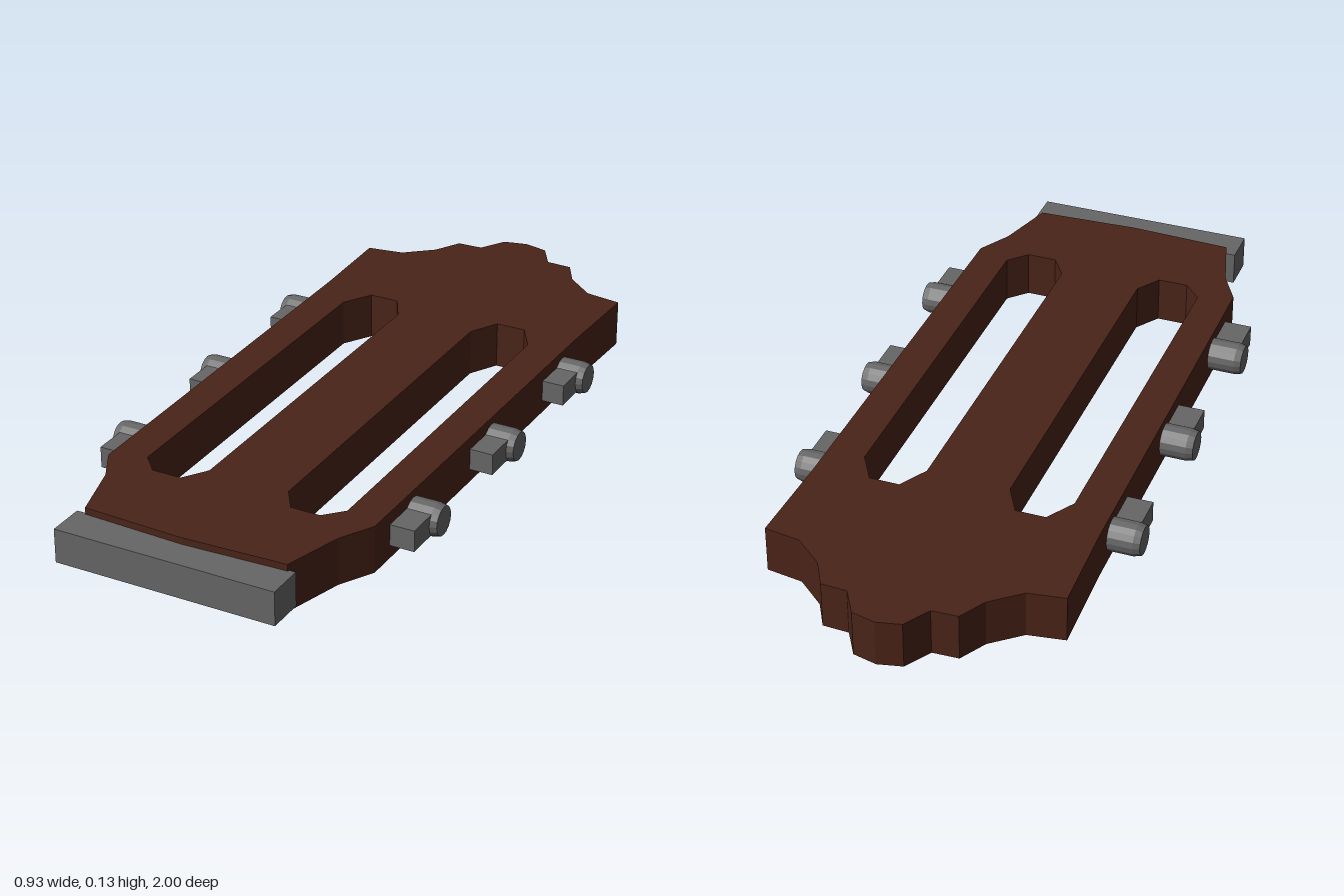
import * as THREE from 'three';

const wood = new THREE.MeshStandardMaterial({ color: 0x4a2418, flatShading: true });
const metal = new THREE.MeshStandardMaterial({ color: 0x666666, flatShading: true });

const THICKNESS = 0.128;
const MID_Y = 0.065;
const CENTRE_X = 0.004;

function part(name, geometry, material) {
  const mesh = new THREE.Mesh(geometry, material);
  mesh.name = name;
  return mesh;
}

// Slotted board, drawn in plan (x, z) and extruded through its thickness
function headBoard() {
  const half = [
    [0.065, -0.985], [0.107, -0.915], [0.177, -0.912], [0.217, -0.84], [0.294, -0.775],
    [0.393, -0.76], [0.384, -0.5], [0.376, 0.655], [0.326, 0.745], [0.28, 0.905],
  ];
  const outline = [
    [0, -1], ...half, [0, 0.917],
    ...half.slice().reverse().map(([x, z]) => [-x, z]),
  ];
  const shape = new THREE.Shape(outline.map(([x, z]) => new THREE.Vector2(x, z)));

  // Long string slots with chamfered corners
  const slot = [
    [0.112, -0.4], [0.155, -0.478], [0.236, -0.478], [0.283, -0.4],
    [0.283, 0.62], [0.236, 0.67], [0.155, 0.67], [0.112, 0.605],
  ];
  for (const side of [1, -1]) {
    shape.holes.push(new THREE.Path(slot.map(([x, z]) => new THREE.Vector2(side * x, z))));
  }
  const geometry = new THREE.ExtrudeGeometry(shape, { depth: THICKNESS, bevelEnabled: false });
  geometry.rotateX(Math.PI / 2).translate(CENTRE_X, THICKNESS, 0);
  return part('headBoard', geometry, wood);
}

// Tuning peg: a bevelled barrel pointing outwards with a flat tab beside it
function tuningPeg(side, z) {
  const peg = new THREE.Group();
  peg.name = side > 0 ? 'leftTuningPeg' : 'rightTuningPeg';
  const profile = [[0, 0.35], [0.044, 0.35], [0.044, 0.447], [0.039, 0.465], [0, 0.465]]
    .map(([r, h]) => new THREE.Vector2(r, h));
  const barrel = part('pegBarrel', new THREE.LatheGeometry(profile, 16), metal);
  barrel.rotation.z = -side * Math.PI / 2;
  const tab = part('pegTab', new THREE.BoxGeometry(0.096, 0.058, 0.122), metal);
  tab.position.set(side * 0.399, 0, 0.061);
  peg.add(barrel, tab);
  peg.position.set(0, MID_Y, z);
  return peg;
}

export function createModel() {
  const model = new THREE.Group();
  model.name = 'slottedHeadstock';
  model.add(headBoard());

  // Nut bar across the front end
  const nut = part('nut', new THREE.BoxGeometry(0.606, 0.092, 0.1), metal);
  nut.position.set(0, 0.064, 0.95);
  model.add(nut);

  for (const side of [1, -1]) {
    for (const z of [-0.405, 0.026, 0.457]) model.add(tuningPeg(side, z));
  }
  return model;
}
